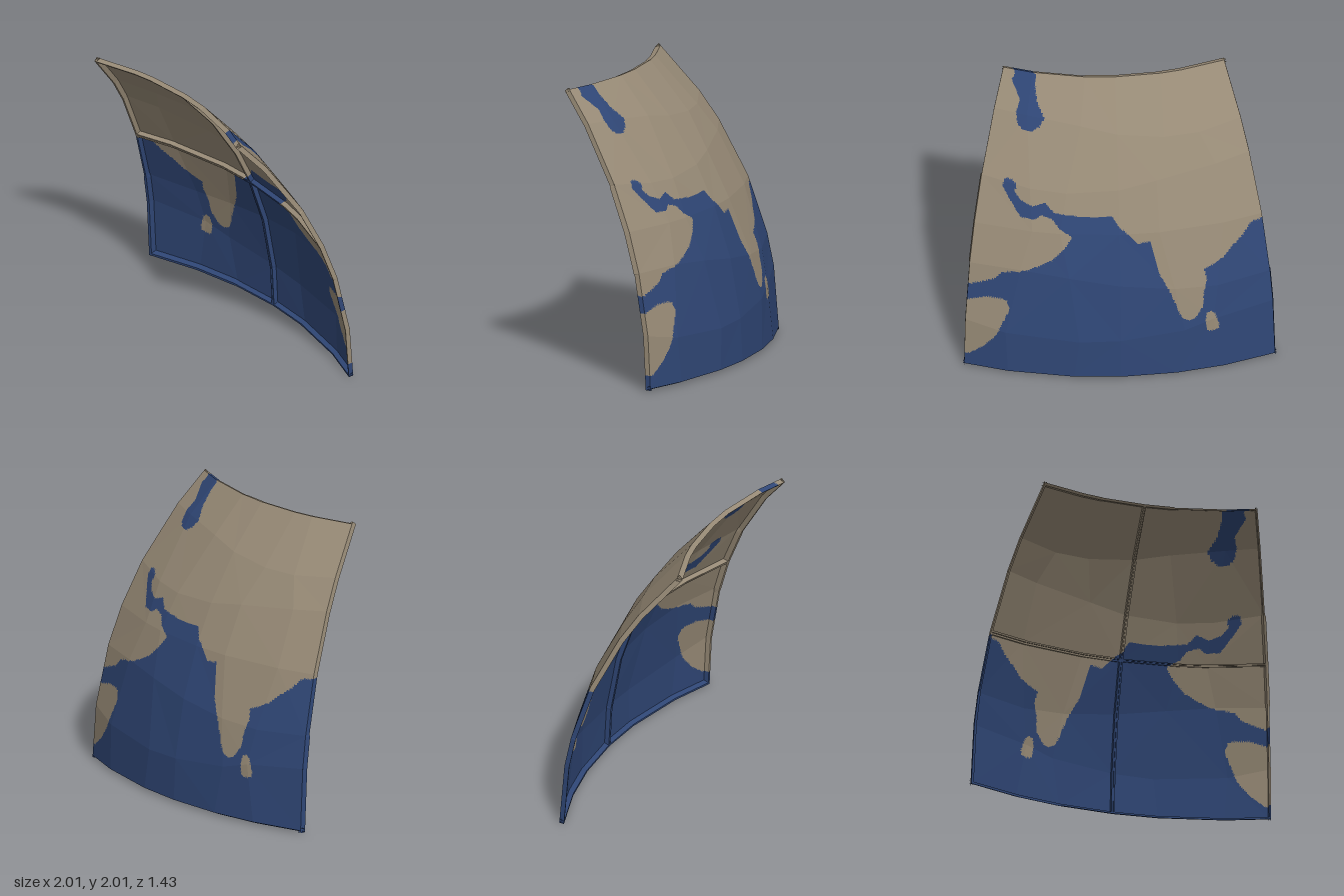
import * as THREE from 'three';

const R = 2.82, CX = -0.985, CY = 0.018, CZ = 2.11;  // globe radius and centre
const SPAN = THREE.MathUtils.degToRad(44.7);         // angle covered each way
const N = 6, MID = N / 2;                            // facets per side, and the panel seam
const FINE = 28;                                     // subdivisions per facet for coastlines
const DEPTH = 0.035;                                 // how far the panel lips stand inward

// Coastlines, drawn as seen from the front
const SEA = [
  -1.1, 1.07, -0.9, 1.05, -0.83, 0.98, -0.76, 0.93, -0.68, 0.86, -0.6, 0.82, -0.52, 0.79, -0.53, 0.72,
  -0.5, 0.64, -0.48, 0.52, -0.43, 0.45, -0.38, 0.43, -0.33, 0.46, -0.3, 0.56, -0.27, 0.66, -0.22, 0.78,
  -0.2, 0.9, -0.19, 1.03, -0.1, 1.02, -0.06, 1.08, 0, 1.14, 0.03, 1.21, 0.2, 1.2, 0.38, 1.22,
  0.42, 1.28, 0.5, 1.25, 0.56, 1.28, 0.58, 1.33, 0.56, 1.37, 0.58, 1.4, 0.62, 1.4, 0.64, 1.35,
  0.61, 1.25, 0.58, 1.17, 0.5, 1.17, 0.46, 1.2, 0.4, 1.18, 0.37, 1.12, 0.3, 1.07, 0.36, 0.99,
  0.45, 0.9, 0.6, 0.82, 0.75, 0.78, 0.8, 0.72, 0.92, 0.66, 1.1, 0.65, 1.1, -0.1, -1.1, -0.1,
];
const CAPE = [
  1.1, 0.53, 0.95, 0.54, 0.85, 0.58, 0.74, 0.58, 0.73, 0.51, 0.78, 0.4, 0.83, 0.28, 0.9, 0.18,
  0.97, 0.11, 1.1, 0.11,
];
const ISLAND = [
  -0.56, 0.46, -0.53, 0.48, -0.505, 0.47, -0.49, 0.41, -0.5, 0.33, -0.54, 0.32, -0.585, 0.34, -0.585, 0.37,
];
const LAKE = [
  0.25, 2.1, 0.255, 1.98, 0.28, 1.93, 0.3, 1.85, 0.29, 1.77, 0.33, 1.72, 0.38, 1.69, 0.43, 1.69,
  0.455, 1.72, 0.44, 1.79, 0.395, 1.85, 0.4, 1.95, 0.37, 1.98, 0.355, 2.1,
];

function inside(poly, x, y) {
  let hit = false;
  for (let i = 0, j = poly.length - 2; i < poly.length; j = i, i += 2) {
    const [x1, y1, x2, y2] = [poly[i], poly[i + 1], poly[j], poly[j + 1]];
    if ((y1 > y) !== (y2 > y) && x < x1 + ((x2 - x1) * (y - y1)) / (y2 - y1)) hit = !hit;
  }
  return hit;
}
const isSea = (x, y) => inside(LAKE, x, y) ||
  (inside(SEA, x, y) && !inside(CAPE, x, y) && !inside(ISLAND, x, y));

// Facet corners on the sphere, nudged along it except across the edges and seams
const centre = new THREE.Vector3(CX, CY, CZ);
const corners = [];
for (let i = 0; i <= N; i++) {
  corners.push([]);
  for (let j = 0; j <= N; j++) {
    const u = i + (i % MID ? 0.22 * Math.sin(i * 3 + j * 5) : 0);
    const v = j + (j % MID ? 0.22 * Math.sin(i * 7 + j * 2) : 0);
    const lon = (u / N) * SPAN, lat = (v / N) * SPAN;
    corners[i].push(new THREE.Vector3(
      CX + R * Math.cos(lat) * Math.sin(lon),
      CY + R * Math.sin(lat),
      CZ - R * Math.cos(lat) * Math.cos(lon)));
  }
}
const crossed = (i, j) => (i + j) % 2 === 1;     // which way a facet square is split

// Point on the faceted surface, sunk by depth d toward the globe's centre
function surface(u, v, d = 0) {
  const i = THREE.MathUtils.clamp(Math.floor(u), 0, N - 1);
  const j = THREE.MathUtils.clamp(Math.floor(v), 0, N - 1);
  const s = u - i, t = v - j;
  const square = [corners[i][j], corners[i + 1][j], corners[i + 1][j + 1], corners[i][j + 1]];
  let w;
  if (crossed(i, j)) w = s + t < 1 ? [1 - s - t, s, 0, t] : [0, 1 - t, s + t - 1, 1 - s];
  else w = s > t ? [1 - s, s - t, t, 0] : [1 - t, 0, s, t - s];
  const p = new THREE.Vector3();
  square.forEach((q, k) => p.addScaledVector(q, w[k]));
  return p.addScaledVector(centre.clone().sub(p).normalize(), d);
}

// Collects triangles, sorted into land and sea
function makeSorter() {
  const land = [], sea = [];
  const tri = (a, b, c) => {
    const list = isSea((a.x + b.x + c.x) / 3, (a.y + b.y + c.y) / 3) ? sea : land;
    for (const p of [a, b, c]) list.push(p.x, p.y, p.z);
  };
  const quad = (a, b, c, d) => { tri(a, b, c); tri(a, c, d); };
  return { land, sea, tri, quad };
}

export function createModel() {
  const group = new THREE.Group();
  group.name = 'globeSection';
  const look = (name, color) => {
    const m = new THREE.MeshStandardMaterial({ color, flatShading: true, side: THREE.DoubleSide });
    m.name = name;
    return m;
  };
  const landMaterial = look('land', 0x978a76), seaMaterial = look('sea', 0x2f4675);
  const addMesh = (name, points, material) => {
    const g = new THREE.BufferGeometry();
    g.setAttribute('position', new THREE.Float32BufferAttribute(points, 3));
    g.computeVertexNormals();
    const mesh = new THREE.Mesh(g, material);
    mesh.name = name;
    group.add(mesh);
  };

  // Curved skin
  const skin = makeSorter();
  const M = N * FINE;
  const grid = [];
  for (let i = 0; i <= M; i++) {
    grid.push([]);
    for (let j = 0; j <= M; j++) grid[i].push(surface(i / FINE, j / FINE));
  }
  for (let i = 0; i < M; i++) {
    for (let j = 0; j < M; j++) {
      const a = grid[i][j], b = grid[i + 1][j], c = grid[i + 1][j + 1], d = grid[i][j + 1];
      if (crossed(Math.floor(i / FINE), Math.floor(j / FINE))) {
        skin.tri(a, d, b);
        skin.tri(b, d, c);
      } else skin.quad(a, d, c, b);
    }
  }
  addMesh('landSkin', skin.land, landMaterial);
  addMesh('seaSkin', skin.sea, seaMaterial);

  // Frames: each of the four panels has a shallow lip on its inner side; outer lips flare outward
  const frame = makeSorter();
  const steps = MID * FINE;
  function lip(at, dir, flare, width, start, alongU) {
    const from = start - (start === 0 ? flare : 0);
    const to = start + MID + (start === MID ? flare : 0);
    const point = (k, [across, d]) => {
      const along = from + ((to - from) * k) / steps;
      return alongU ? surface(along, across, d) : surface(across, along, d);
    };
    const rails = [
      [at, 0], [at - dir * flare, DEPTH], [at + dir * (width - flare), DEPTH], [at + dir * width, 0.001],
    ];
    const flip = (dir > 0) === alongU;
    for (let k = 0; k < steps; k++) {
      for (let r = 0; r < 3; r++) {
        const a = point(k, rails[r]), b = point(k + 1, rails[r]);
        const c = point(k + 1, rails[r + 1]), d = point(k, rails[r + 1]);
        if (flip) frame.quad(a, b, c, d);
        else frame.quad(a, d, c, b);
      }
    }
  }
  const gap = 0.003;                             // hairline seam between panels
  for (const start of [0, MID]) {
    for (const alongU of [true, false]) {
      lip(0, 1, 0.042, 0.045, start, alongU);
      lip(MID - gap, -1, 0, 0.032, start, alongU);
      lip(MID + gap, 1, 0, 0.032, start, alongU);
      lip(N, -1, 0.042, 0.045, start, alongU);
    }
  }
  addMesh('landFrame', frame.land, landMaterial);
  addMesh('seaFrame', frame.sea, seaMaterial);
  return group;
}
